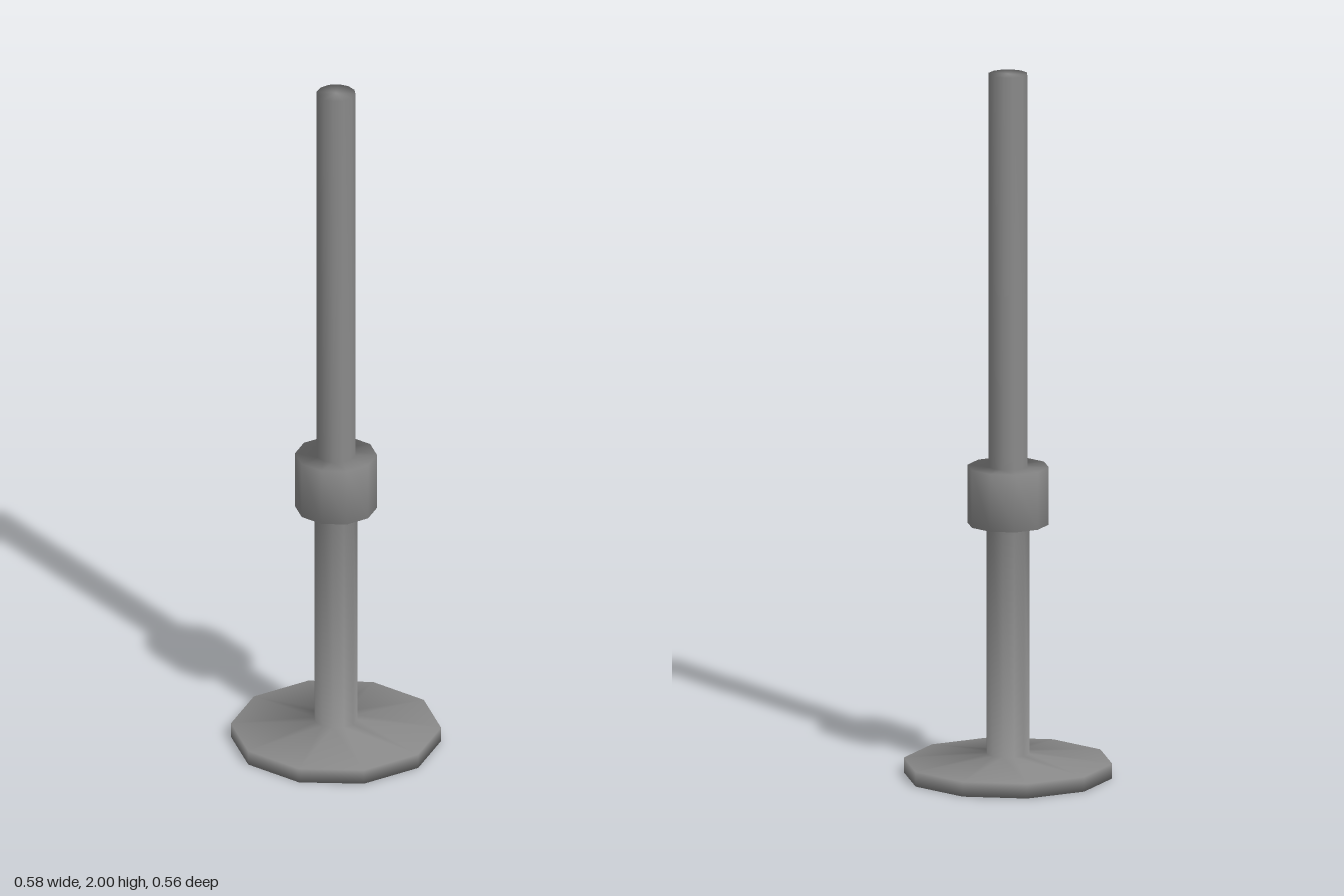
import * as THREE from 'three';

// Smooth, welded skin over level rings [radius, height, sides]; a one-sided ring is a cap centre
function skinRings(rings) {
  const positions = [], index = [], starts = [];
  for (const [r, y, n] of rings) {
    starts.push(positions.length / 3);
    for (let k = 0; k < n; k++) {
      const a = (k / n) * Math.PI * 2;
      positions.push(r * Math.cos(a), y, -r * Math.sin(a));
    }
  }
  for (let s = 0; s < rings.length - 1; s++) {
    const nl = rings[s][2], nu = rings[s + 1][2];
    const low = (k) => starts[s] + (k % nl);
    const up = (k) => starts[s + 1] + (k % nu);
    // Walk around both rings, stepping the one whose next corner comes first
    let i = 0, j = 0;
    while (i < nl || j < nu) {
      if (i < nl && (j === nu || (i + 1) / nl <= (j + 1) / nu)) {
        if (nl > 1) index.push(low(i), low(i + 1), up(j));
        i++;
      } else {
        if (nu > 1) index.push(low(i), up(j + 1), up(j));
        j++;
      }
    }
  }
  const geometry = new THREE.BufferGeometry();
  geometry.setAttribute('position', new THREE.Float32BufferAttribute(positions, 3));
  geometry.setIndex(index);
  geometry.computeVertexNormals();
  return geometry;
}

export function createModel() {
  const group = new THREE.Group();
  const material = new THREE.MeshStandardMaterial({ color: 0x888888 });

  const post = new THREE.Mesh(skinRings([
    // Ten-sided foot with a sloping top
    [0, 0, 1], [0.292, 0, 10], [0.292, 0.042, 10],
    // Twelve-sided lower stem
    [0.061, 0.064, 12], [0.061, 0.718, 12],
    // Ten-sided collar
    [0.114, 0.718, 10], [0.114, 0.882, 10],
    // Twelve-sided upper rod
    [0.055, 0.882, 12], [0.055, 2, 12], [0, 2, 1],
  ]), material);
  post.name = 'postWithFootAndCollar';
  group.add(post);

  return group;
}
